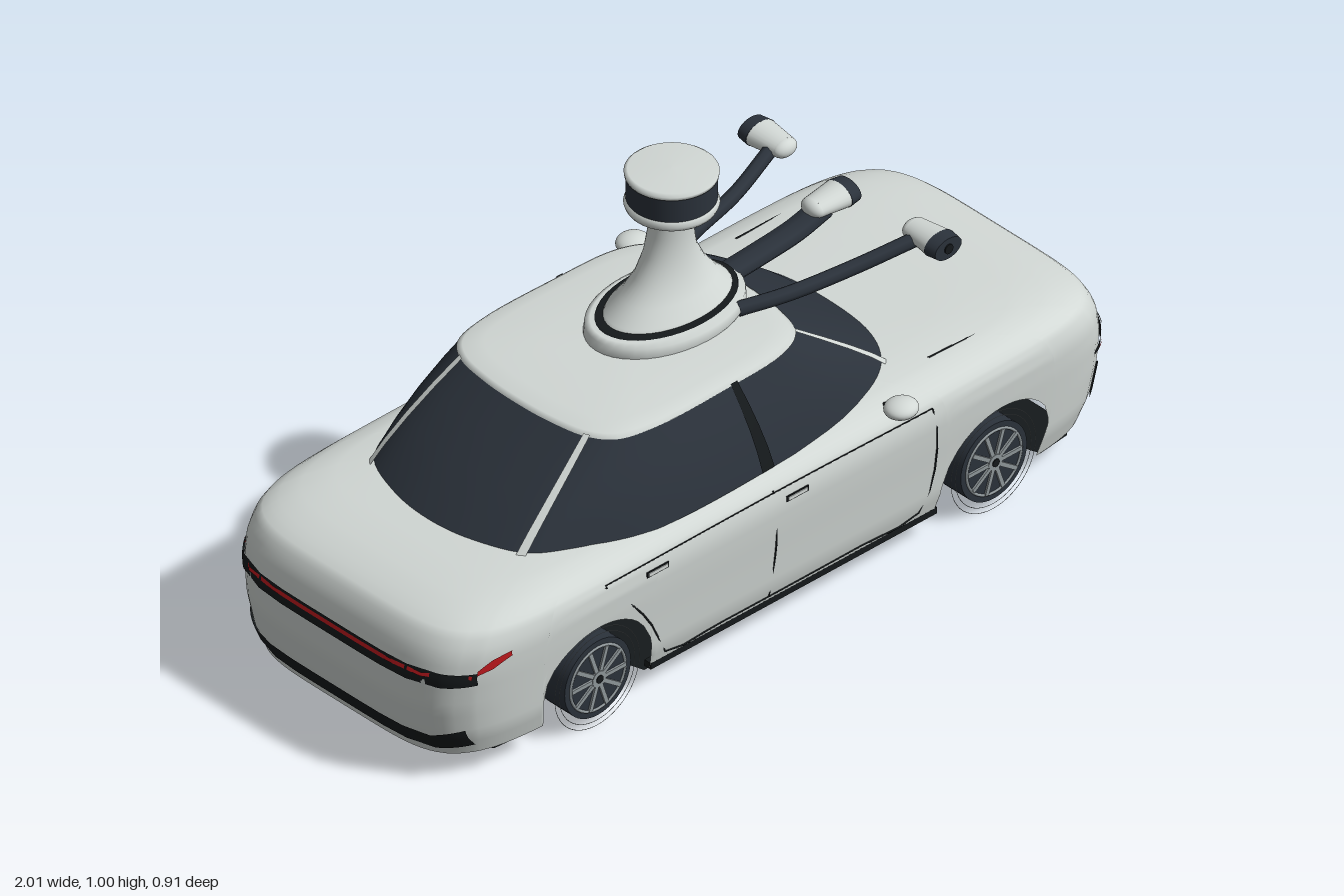
import * as THREE from 'three';

const mat = (name, color, side = THREE.FrontSide) => {
  const m = new THREE.MeshStandardMaterial({ color, side });
  m.name = name;
  return m;
};

// Body section by height: y, half length, half width
const LEVELS = [
  [0.06, 0.965, 0.355], [0.12, 0.985, 0.372], [0.2, 1, 0.38], [0.28, 1, 0.389], [0.33, 0.988, 0.393],
  [0.365, 0.972, 0.39], [0.385, 0.95, 0.382], [0.4, 0.91, 0.367], [0.412, 0.86, 0.345], [0.422, 0.78, 0.31],
  [0.43, 0.62, 0.22], [0.434, 0.01, 0.005],
];
const level = (y) => {
  let i = 0;
  while (i < LEVELS.length - 2 && y > LEVELS[i + 1][0]) i++;
  const a = LEVELS[i], b = LEVELS[i + 1];
  const t = THREE.MathUtils.clamp((y - a[0]) / (b[0] - a[0]), 0, 1);
  return [a[1] + (b[1] - a[1]) * t, a[2] + (b[2] - a[2]) * t];
};
const planU = (v) => Math.pow(Math.max(0, 1 - Math.pow(Math.abs(v), 5)), 0.1);
const planV = (u) => Math.pow(Math.max(0, 1 - Math.pow(Math.abs(u), 10)), 0.2);
const AXLES = [-0.565, 0.597];
const WHEEL_Y = 0.125;
const lowEdge = (u) => {
  for (const c of AXLES) {
    const d = (u * 0.985 - c) / 0.157;
    if (Math.abs(d) < 1) return WHEEL_Y + 0.148 * Math.sqrt(1 - d * d);
  }
  return 0.06;
};

// Surface through rows of points, ordered bottom to top, front round to +z
function grid(rows, material, name, closed = false) {
  const n = rows[0].length, index = [];
  for (let i = 0; i < rows.length - 1; i++) {
    for (let j = 0; j < (closed ? n : n - 1); j++) {
      const k = (j + 1) % n, a = i * n + j, c = i * n + k;
      index.push(a, a + n, c, a + n, c + n, c);
    }
  }
  const g = new THREE.BufferGeometry();
  g.setAttribute('position', new THREE.Float32BufferAttribute(rows.flat(2), 3));
  g.setIndex(index);
  g.computeVertexNormals();
  const m = new THREE.Mesh(g, material);
  m.name = name;
  return m;
}

// Stack of ellipses: y, x radius, z radius, x centre
const ovalStack = (list, material, name) => grid(list.map(([y, rx, rz, cx]) =>
  Array.from({ length: 40 }, (_, j) => {
    const a = (j / 40) * Math.PI * 2;
    return [cx + rx * Math.cos(a), y, rz * Math.sin(a)];
  })), material, name, true);

export function createModel() {
  const car = new THREE.Group();
  car.name = 'sensorCar';
  const D = THREE.DoubleSide;
  const paint = mat('silverPaint', 0xd2d8d5), glass = mat('darkGlass', 0x2b323b, D);
  const black = mat('blackTrim', 0x15191b, D), red = mat('redLamp', 0xc41a1f, D);
  const alloy = mat('alloyGrey', 0x8f979a), lamp = mat('whiteLamp', 0xeef1f1, D);
  const add = (geo, material, name, x = 0, y = 0, z = 0, parent = car) => {
    const m = new THREE.Mesh(geo, material);
    m.name = name;
    m.position.set(x, y, z);
    parent.add(m);
    return m;
  };
  const tube = (pts, r, material, name) => add(new THREE.TubeGeometry(
    new THREE.CatmullRomCurve3(pts.map((p) => new THREE.Vector3(...p)), false, 'centripetal'), 24, r, 8), material, name);

  // Body shell with open wheel arches
  const ends = Array.from({ length: 19 }, (_, i) => i * 0.05);
  const us = [];
  for (let u = -0.9; u <= 0.901; u += 0.02) us.push(u);
  for (const c of AXLES) for (const s of [-1, 1]) for (const e of [-0.0005, 0.0005]) us.push((c + s * 0.157) / 0.985 + e);
  us.sort((a, b) => b - a);
  const half = [...ends.map((v) => [planU(v), v]), ...us.map((u) => [u, planV(u)]),
    ...ends.slice().reverse().map((v) => [-planU(v), v])];
  const outline = [...half, ...half.slice(1, -1).reverse().map(([u, v]) => [u, -v])];
  const heights = [];
  for (let i = 0; i < 16; i++) heights.push(0.06 + (0.31 * i) / 16);
  heights.push(0.37, 0.378, 0.385, 0.393, 0.4, 0.406, 0.412, 0.417, 0.422, 0.426, 0.43, 0.434);
  car.add(grid(heights.map((h) => outline.map(([u, v]) => {
    const low = lowEdge(u);
    const y = h < 0.37 ? low + ((h - 0.06) * (0.37 - low)) / 0.31 : h;
    const [l, w] = level(y);
    return [u * l, y, v * w];
  })), paint, 'bodyShell', true));

  // Floor with wheel notches, and bumper undersides
  const flat = (pts, material, name, y) => add(new THREE.ShapeGeometry(
    new THREE.Shape(pts.map((p) => new THREE.Vector2(...p)))).rotateX(Math.PI / 2), material, name, 0, y);
  const edge = [[0.87, 0.3], [0.84, 0.34]];
  for (const c of [AXLES[1], AXLES[0]]) edge.push([c + 0.155, 0.35], [c + 0.13, 0.27], [c - 0.13, 0.27], [c - 0.155, 0.35]);
  edge.push([-0.84, 0.34], [-0.87, 0.3]);
  flat([...edge, ...edge.slice().reverse().map(([x, z]) => [x, -z])], black, 'floor', 0.06);
  for (const s of [1, -1]) {
    flat(outline.filter(([u]) => s * u > 0.8).sort((a, b) => a[1] - b[1]).map(([u, v]) => [u * 0.965, v * 0.355]),
      paint, 'bumperUnderside', 0.063);
  }

  // Cabin: glass lofted between the belt line and the roof line
  const belt = [[0.48, 0], [0.46, 0.16], [0.4, 0.25], [0.25, 0.32], [-0.1, 0.355], [-0.4, 0.345], [-0.58, 0.29],
    [-0.67, 0.235], [-0.72, 0.12], [-0.735, 0]];
  const rim = [[0.19, 0], [0.18, 0.14], [0.15, 0.22], [0.08, 0.258], [-0.1, 0.27], [-0.3, 0.268], [-0.39, 0.245],
    [-0.43, 0.195], [-0.45, 0.1], [-0.455, 0]];
  const loop = (pts) => new THREE.CatmullRomCurve3([...pts, ...pts.slice(1, -1).reverse().map(([x, z]) => [x, -z])]
    .map(([x, z]) => new THREE.Vector3(x, 0, z)), true);
  const beltCurve = loop(belt), rimCurve = loop(rim);
  // t counts outline points from the front centre
  const cabin = (t0, t1, n, off, s = 1) => [0, 0.25, 0.5, 0.75, 1].map((k) => Array.from({ length: n + 1 }, (_, j) => {
    const t = (((t0 + ((t1 - t0) * j) / n) / 18) % 1 + 1) % 1;
    const p = beltCurve.getPoint(t).lerp(rimCurve.getPoint(t), k);
    const f = 1 + 0.1 * k * (1 - k) + off;
    return [(p.x + 0.12) * f - 0.12, 0.41 + 0.197 * k + off * 0.3, s * p.z * f];
  }));
  car.add(grid(cabin(0, 18, 108, 0), glass, 'cabinGlass'));
  for (const [t, w] of [[2, 0.07], [7, 0.1]]) {
    car.add(grid(cabin(t - w, t + w, 2, 0.012), paint, 'pillarLeft'));
    car.add(grid(cabin(18 - t - w, 18 - t + w, 2, 0.012), paint, 'pillarRight'));
  }
  for (const t of [3.86, 14.14]) car.add(grid(cabin(t - 0.05, t + 0.05, 2, 0.008), black, 'doorPillar'));
  const roofRow = (f, y) => Array.from({ length: 108 }, (_, j) => {
    const p = rimCurve.getPoint(j / 108);
    return [-0.13 + (p.x + 0.13) * f, y, p.z * f];
  });
  car.add(grid([roofRow(1, 0.6), roofRow(1.015, 0.605), roofRow(0.98, 0.612), roofRow(0.85, 0.618), roofRow(0.5, 0.623),
    roofRow(0.01, 0.625)], paint, 'roof', true));

  // Thin plates that follow the nose (s = 1) or tail (s = -1): list of z, low y, high y
  const patch = (list, s, material, name, lift = 0.003) => {
    const rows = [0, 1, 2, 3, 4].map((r) => {
      const row = [];
      for (let i = 0; i < list.length - 1; i++) {
        for (let k = i ? 1 : 0; k <= 8; k++) {
          const [z, lo, hi] = list[i].map((v, q) => v + ((list[i + 1][q] - v) * k) / 8);
          const y = lo + ((hi - lo) * r) / 4, [l, w] = level(y);
          row.push([s * (planU(Math.min(1, z / w)) * l + lift), y, z + Math.sign(z) * lift]);
        }
      }
      return row;
    });
    car.add(grid(rows, material, name));
  };
  const both = (list, ...rest) => {
    patch(list, ...rest);
    patch(list.map(([z, a, b]) => [-z, a, b]), ...rest);
  };
  both([[0.07, 0.268, 0.274], [0.14, 0.258, 0.287], [0.25, 0.245, 0.287], [0.33, 0.238, 0.27], [0.353, 0.246, 0.256]], 1, black, 'headlight');
  for (const z of [0.165, 0.195, 0.225]) both([[z, 0.265, 0.275], [z + 0.018, 0.263, 0.277]], 1, lamp, 'headlightLens', 0.005);
  both([[0.12, 0.281, 0.285], [0.25, 0.28, 0.285], [0.3, 0.272, 0.277]], 1, lamp, 'daylightStrip', 0.005);
  both([[0.315, 0.25, 0.255], [0.342, 0.25, 0.256]], 1, red, 'sideMarker', 0.005);
  patch([[-0.25, 0.112, 0.122], [-0.21, 0.096, 0.145], [0.21, 0.096, 0.145], [0.25, 0.112, 0.122]], 1, black, 'lowerGrille');
  both([[0.255, 0.11, 0.125], [0.285, 0.104, 0.16], [0.315, 0.108, 0.19], [0.33, 0.12, 0.185]], 1, black, 'cornerIntake');
  patch([[-0.24, 0.08, 0.084], [0.24, 0.08, 0.084]], 1, black, 'splitterLine');
  patch([[-0.355, 0.265, 0.296], [-0.3, 0.262, 0.298], [0.3, 0.262, 0.298], [0.355, 0.265, 0.296]], -1, black, 'tailPanel');
  patch([[-0.35, 0.284, 0.293], [0.35, 0.284, 0.293]], -1, red, 'tailLightBar', 0.005);
  both([[0.355, 0.291, 0.302], [0.368, 0.3, 0.324], [0.379, 0.32, 0.333]], -1, red, 'tailLightSide', 0.004);
  patch([[-0.33, 0.09, 0.14], [-0.27, 0.08, 0.12], [0.27, 0.08, 0.12], [0.33, 0.09, 0.14]], -1, black, 'rearDiffuser');

  // Seams, sills, handles and mirrors on both sides
  for (const s of [1, -1]) {
    const side = (pts) => pts.map(([x, y]) => {
      const [l, w] = level(y);
      return [x, y, s * planV(x / l) * w];
    });
    tube(side([[0.4, 0.37], [0.412, 0.3], [0.41, 0.17], [0.38, 0.092], [0.2, 0.088], [-0.2, 0.088], [-0.36, 0.092],
      [-0.4, 0.17], [-0.46, 0.26], [-0.56, 0.37]]), 0.0022, black, 'doorSeam');
    tube(side([[-0.065, 0.38], [-0.055, 0.25], [-0.057, 0.09]]), 0.0022, black, 'doorSeam');
    tube(side([[-0.56, 0.372], [0, 0.374], [0.4, 0.37]]), 0.0015, black, 'shoulderSeam');
    tube([[0.47, 0.424, s * 0.3], [0.7, 0.416, s * 0.303], [0.84, 0.402, s * 0.29]], 0.002, black, 'bonnetSeam');
    add(new THREE.BoxGeometry(0.84, 0.016, 0.02), black, 'sill', 0.02, 0.069, s * 0.35);
    for (const x of [-0.41, 0]) {
      add(new THREE.BoxGeometry(0.064, 0.014, 0.006), black, 'handleRecess', x, 0.345, s * 0.391);
      add(new THREE.BoxGeometry(0.056, 0.009, 0.008), paint, 'handle', x, 0.345, s * 0.392);
    }
    tube([[0.3, 0.405, s * 0.345], [0.295, 0.425, s * 0.38], [0.285, 0.435, s * 0.4]], 0.008, black, 'mirrorStalk');
    const cap = add(new THREE.SphereGeometry(1, 24, 16), paint, 'mirror', 0.28, 0.446, s * 0.418);
    cap.scale.set(0.04, 0.021, 0.037);
  }
  patch([[-0.22, 0.338, 0.341], [0.22, 0.338, 0.341]], 1, black, 'bonnetFrontSeam', 0.002);

  // Wheels
  for (const x of AXLES) for (const s of [1, -1]) {
    const w = new THREE.Group();
    w.name = 'wheel';
    w.position.set(x, WHEEL_Y, s * 0.33);
    w.rotation.y = s > 0 ? 0 : Math.PI;
    car.add(w);
    add(new THREE.CylinderGeometry(0.097, 0.097, 0.08, 40).rotateX(Math.PI / 2), glass, 'tyre', 0, 0, 0, w);
    add(new THREE.TorusGeometry(0.08, 0.0035, 8, 40), alloy, 'rim', 0, 0, 0.04, w);
    add(new THREE.CylinderGeometry(0.02, 0.02, 0.012, 20).rotateX(Math.PI / 2), alloy, 'hub', 0, 0, 0.04, w);
    add(new THREE.CylinderGeometry(0.01, 0.01, 0.016, 16).rotateX(Math.PI / 2), black, 'hubCap', 0, 0, 0.04, w);
    for (let i = 0; i < 10; i++) {
      add(new THREE.BoxGeometry(0.064, 0.01, 0.008).translate(0.047, 0, 0), alloy, 'spoke', 0, 0, 0.041, w)
        .rotation.z = (i * Math.PI) / 5;
    }
    for (const r of [0.1243, 0.111]) add(new THREE.TorusGeometry(r, 0.0007, 4, 48), alloy, 'tyreEdge', 0, 0, 0.038, w);
  }

  // Roof sensor tower
  ovalStack([[0.612, 0.195, 0.13, -0.02], [0.625, 0.203, 0.137, -0.02], [0.648, 0.2, 0.135, -0.02], [0.656, 0.188, 0.122, -0.02],
    [0.658, 0.01, 0.01, -0.02]], paint, 'towerBase').position.y = 0;
  car.add(ovalStack([[0.612, 0.195, 0.13, -0.02], [0.625, 0.203, 0.137, -0.02], [0.648, 0.2, 0.135, -0.02],
    [0.656, 0.188, 0.122, -0.02], [0.658, 0.01, 0.01, -0.02]], paint, 'towerBase'));
  car.add(ovalStack([[0.65, 0.184, 0.118, -0.015], [0.661, 0.18, 0.114, -0.015], [0.662, 0.01, 0.01, -0.015]], black, 'towerSeal'));
  car.add(ovalStack([[0.655, 0.168, 0.104, -0.012], [0.668, 0.16, 0.1, -0.012], [0.7, 0.123, 0.078, -0.008], [0.74, 0.09, 0.06, -0.006],
    [0.79, 0.064, 0.05, -0.005], [0.84, 0.053, 0.047, -0.003], [0.89, 0.05, 0.05, 0]], paint, 'towerNeck'));
  const drum = (pts, material, name) => add(new THREE.LatheGeometry(pts.map((p) => new THREE.Vector2(...p)), 40), material, name);
  drum([[0, 0.883], [0.065, 0.885], [0.085, 0.9], [0, 0.902]], black, 'headCollar');
  drum([[0.08, 0.897], [0.1, 0.9], [0.104, 0.91], [0.1, 0.922], [0.09, 0.925]], paint, 'headRing');
  drum([[0.099, 0.92], [0.099, 0.984]], glass, 'sensorWindow');
  drum([[0.09, 0.98], [0.102, 0.981], [0.103, 0.989], [0.095, 0.995], [0, 0.997]], paint, 'headCap');

  // Forward camera arms and pods
  const pod = (r0, r1, len, material, name) => new THREE.Mesh(new THREE.CylinderGeometry(r1, r0, len, 24), material);
  tube([[0.13, 0.638, 0], [0.25, 0.645, 0], [0.36, 0.655, 0], [0.44, 0.675, 0]], 0.019, glass, 'centreArm').scale.z = 1.8;
  const podAt = (x, z, yaw) => {
    const g = new THREE.Group();
    g.name = 'cameraPod';
    g.position.set(x, 0.688, z);
    g.rotation.y = yaw;
    car.add(g);
    const shell = add(new THREE.CylinderGeometry(0.029, 0.022, 0.075, 24).rotateZ(-Math.PI / 2), paint, 'podShell', -0.015, 0, 0, g);
    shell.scale.z = 1.45;
    const back = add(new THREE.SphereGeometry(0.022, 20, 14), paint, 'podBack', -0.052, 0, 0, g);
    back.scale.z = 1.45;
    add(new THREE.CylinderGeometry(0.026, 0.029, 0.03, 24).rotateZ(-Math.PI / 2), glass, 'podCamera', 0.037, 0, 0, g).scale.z = 1.5;
    add(new THREE.CylinderGeometry(0.012, 0.012, 0.004, 16).rotateZ(-Math.PI / 2), black, 'podLens', 0.053, 0, 0, g);
  };
  podAt(0.468, 0, 0);
  for (const s of [1, -1]) {
    tube([[0.09, 0.638, s * 0.11], [0.2, 0.645, s * 0.15], [0.36, 0.655, s * 0.185], [0.5, 0.68, s * 0.225]], 0.017, glass, 'sideArm');
    podAt(0.522, s * 0.256, -s * Math.PI / 2);
  }
  return car;
}
